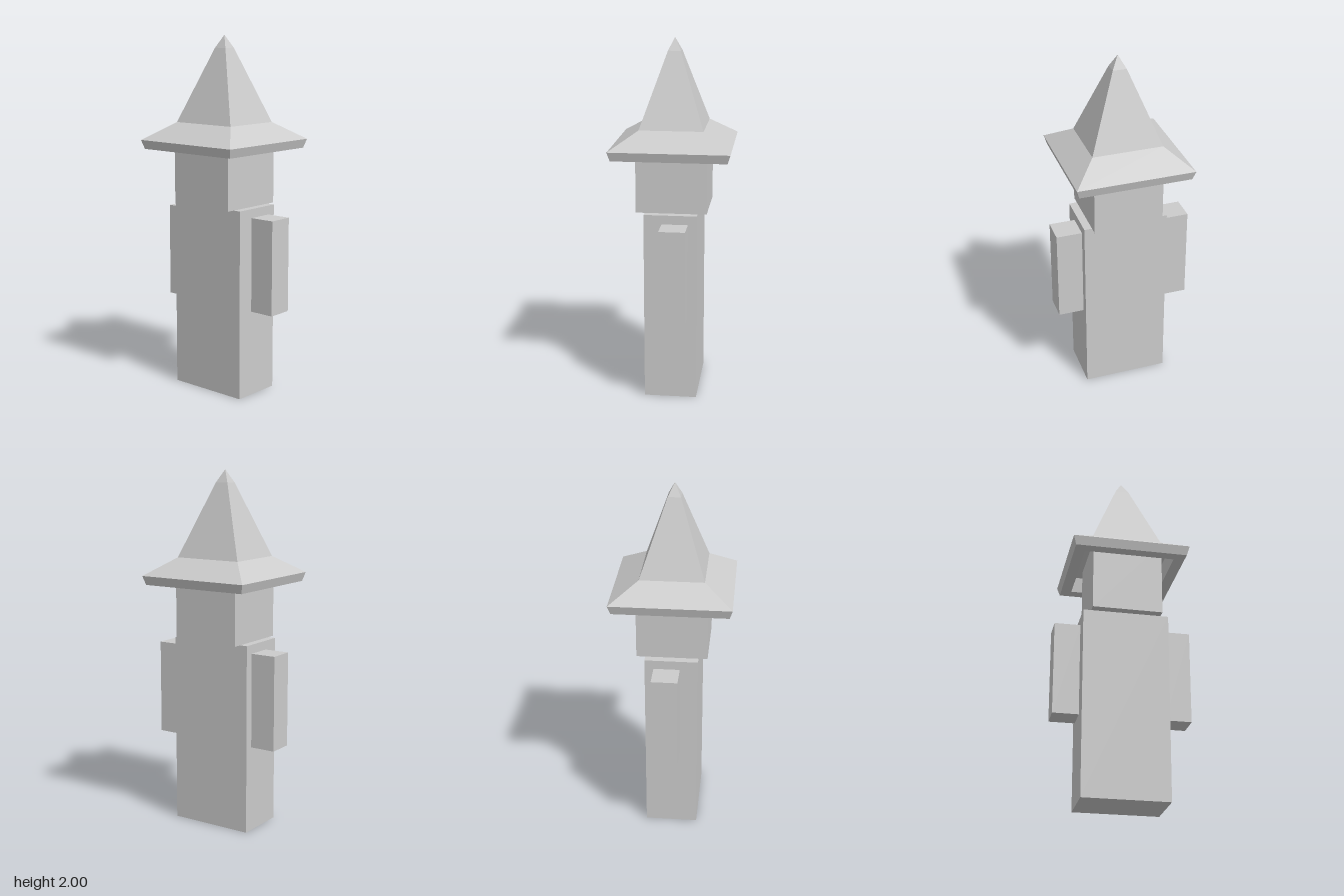
import * as THREE from 'three';

const material = new THREE.MeshStandardMaterial({ color: 0xcccccc, flatShading: true });

function box(name, w, h, d, x, y, z) {
  const mesh = new THREE.Mesh(new THREE.BoxGeometry(w, h, d), material);
  mesh.name = name;
  mesh.position.set(x, y + h / 2, z);
  return mesh;
}

// Skins a stack of rectangular rings given as [halfX, y, halfZ]
function rectLoft(rings) {
  const corners = ([x, y, z]) => [[x, y, z], [x, y, -z], [-x, y, -z], [-x, y, z]];
  const points = [];
  for (let i = 0; i < rings.length - 1; i++) {
    const a = corners(rings[i]);
    const b = corners(rings[i + 1]);
    for (let j = 0; j < 4; j++) {
      const k = (j + 1) % 4;
      points.push(...a[j], ...a[k], ...b[k]);
      if (rings[i + 1][0] > 0) points.push(...a[j], ...b[k], ...b[j]);
    }
  }
  const geometry = new THREE.BufferGeometry();
  geometry.setAttribute('position', new THREE.Float32BufferAttribute(points, 3));
  geometry.computeVertexNormals();
  return geometry;
}

export function createModel() {
  const model = new THREE.Group();
  model.name = 'hattedFigure';

  model.add(box('body', 0.48, 1.065, 0.292, 0, 0, 0));
  model.add(box('head', 0.392, 0.435, 0.39, 0, 1.065, 0));

  // Arms, set slightly back
  for (const [name, side] of [['leftArm', 1], ['rightArm', -1]]) {
    model.add(box(name, 0.145, 0.53, 0.144, side * 0.3125, 0.485, -0.025));
  }

  // Hat: recess under the brim, rim, sloped brim, then the pointed crown
  const hat = new THREE.Mesh(rectLoft([
    [0.19, 1.48, 0.172],
    [0.24, 1.465, 0.24],
    [0.252, 1.375, 0.252],
    [0.313, 1.375, 0.313],
    [0.328, 1.425, 0.328],
    [0.197, 1.522, 0.175],
    [0.038, 1.93, 0.035],
    [0, 2, 0],
  ]), material);
  hat.name = 'hat';
  model.add(hat);

  return model;
}
